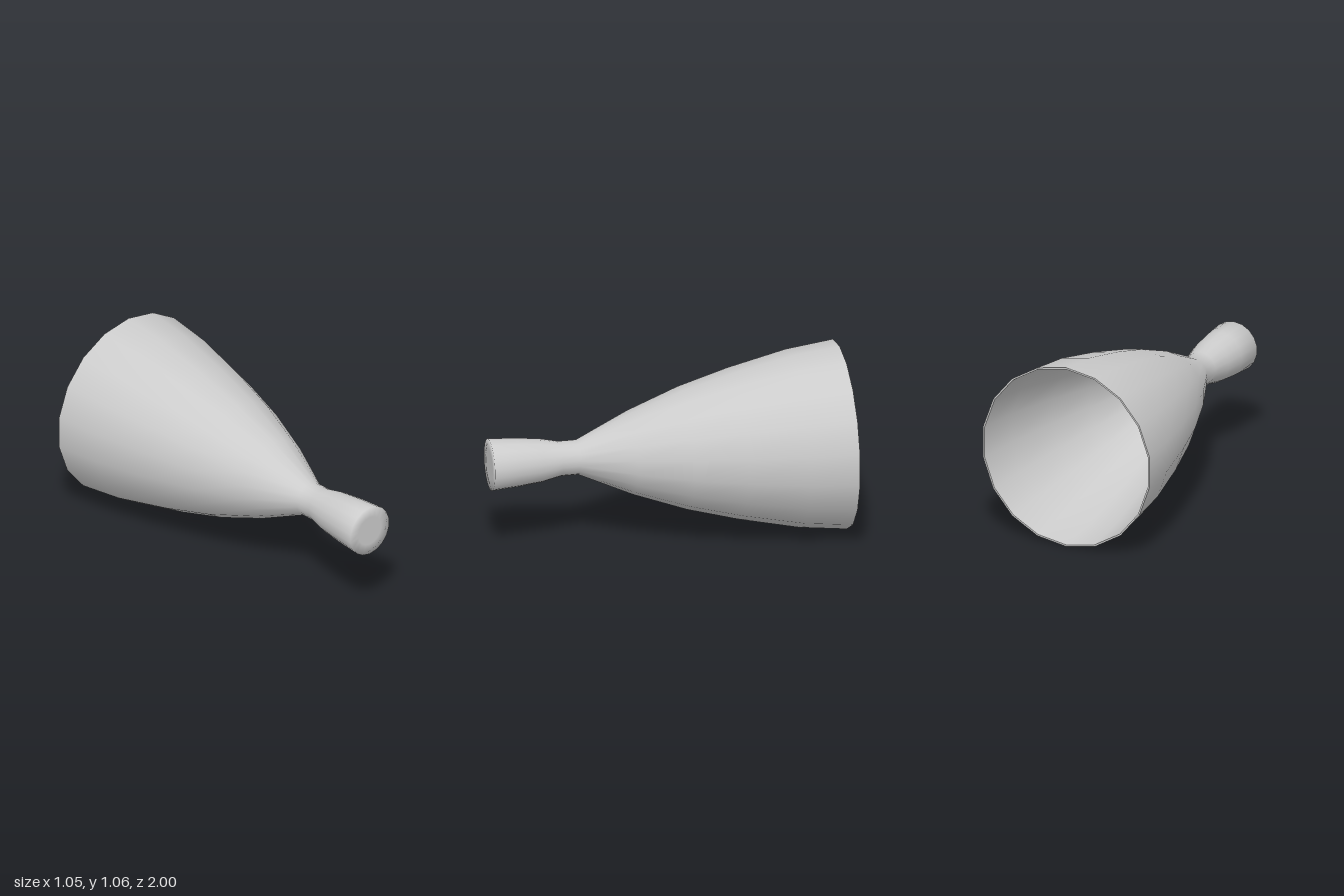
import * as THREE from 'three';

const SIDES = 18;
const RADIUS = 0.532;

// Revolve [radius, z] pairs about the z axis
function revolve(name, profile, material) {
  const points = profile.map(([r, z]) => new THREE.Vector2(r, z));
  const geometry = new THREE.LatheGeometry(points, SIDES);
  geometry.rotateX(Math.PI / 2);
  const mesh = new THREE.Mesh(geometry, material);
  mesh.name = name;
  mesh.position.y = RADIUS;
  return mesh;
}

export function createModel() {
  const group = new THREE.Group();
  group.name = 'flaredBell';
  const material = new THREE.MeshStandardMaterial({ color: 0xcccccc });

  // Flared bell, from the open rim to the narrow neck
  const bell = [
    [RADIUS, -1], [0.5, -0.73], [0.425, -0.39], [0.345, -0.1],
    [0.235, 0.2], [0.098, 0.5],
  ];
  // Stem widening to its end, closed by a cap with a softened edge
  const stem = [
    [0.098, 0.6], [0.122, 0.71], [0.136, 0.84], [0.147, 1], [0.085, 1], [0, 1],
  ];
  group.add(revolve('outerShell', [...bell, ...stem], material));

  // Thin inner wall, running up the bell and closed in the neck
  const wall = 0.01;
  const inner = bell.map(([r, z]) => [r - wall, z]).reverse();
  group.add(revolve('innerWall', [[0, 0.5], ...inner], material));

  // Narrow flat rim joining both walls
  group.add(revolve('rim', [[RADIUS - wall, -1], [RADIUS, -1]], material));

  return group;
}
